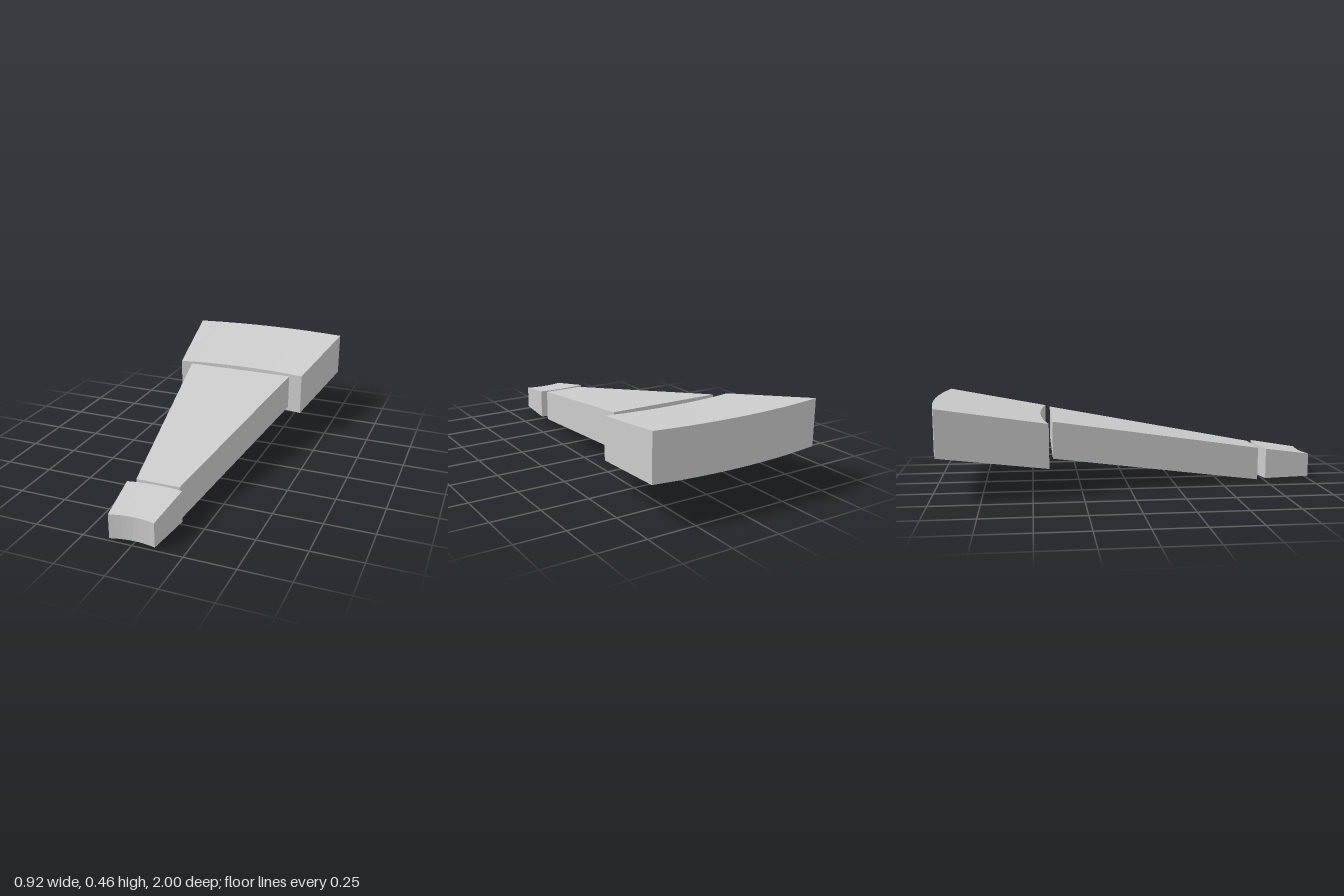
import * as THREE from 'three';

const material = new THREE.MeshStandardMaterial({ color: 0xcccccc, flatShading: true });

// Point on an edge running from left to right, bowed toward -z by `bow` in its middle.
function edgePoint(e, t, y) {
  const x = THREE.MathUtils.lerp(e.x0, e.x1, t);
  const z = THREE.MathUtils.lerp(e.z0, e.z1, t) - e.bow * (1 - (2 * t - 1) ** 2);
  return [x, y, z];
}

// Sloping wedge block lofted across x between a front and a back edge.
function wedge(name, front, back, segments) {
  const positions = [];
  const quad = (a, b, c, d) => positions.push(...a, ...b, ...c, ...a, ...c, ...d);
  const section = (t) => [
    edgePoint(front, t, front.bottom),
    edgePoint(front, t, front.top),
    edgePoint(back, t, back.top),
    edgePoint(back, t, back.bottom),
  ];
  for (let i = 0; i < segments; i++) {
    const p = section(i / segments);
    const q = section((i + 1) / segments);
    for (let j = 0; j < 4; j++) {
      const k = (j + 1) % 4;
      quad(p[j], q[j], q[k], p[k]);
    }
  }
  // End caps
  quad(...section(0));
  quad(...section(1).reverse());

  const geometry = new THREE.BufferGeometry();
  geometry.setAttribute('position', new THREE.Float32BufferAttribute(positions, 3));
  geometry.computeVertexNormals();
  const mesh = new THREE.Mesh(geometry, material);
  mesh.name = name;
  return mesh;
}

export function createModel() {
  const group = new THREE.Group();
  group.name = 'steppedWedge';

  // Small curved block at the low, narrow end
  group.add(wedge('innerBlock',
    { x0: -0.113, x1: 0.112, z0: 1.0, z1: 0.994, bow: 0.016, bottom: 0.013, top: 0.137 },
    { x0: -0.144, x1: 0.137, z0: 0.752, z1: 0.746, bow: 0.014, bottom: 0.013, top: 0.175 }, 8));

  // Long straight-ended ramp in the middle
  group.add(wedge('middleRamp',
    { x0: -0.113, x1: 0.112, z0: 0.717, z1: 0.717, bow: 0, bottom: 0, top: 0.175 },
    { x0: -0.299, x1: 0.301, z0: -0.397, z1: -0.397, bow: 0, bottom: 0.177, top: 0.365 }, 1));

  // Large curved block at the high, wide end
  group.add(wedge('outerBlock',
    { x0: -0.373, x1: 0.367, z0: -0.417, z1: -0.421, bow: 0.034, bottom: 0.14, top: 0.365 },
    { x0: -0.461, x1: 0.457, z0: -0.959, z1: -0.963, bow: 0.039, bottom: 0.221, top: 0.458 }, 8));

  return group;
}
